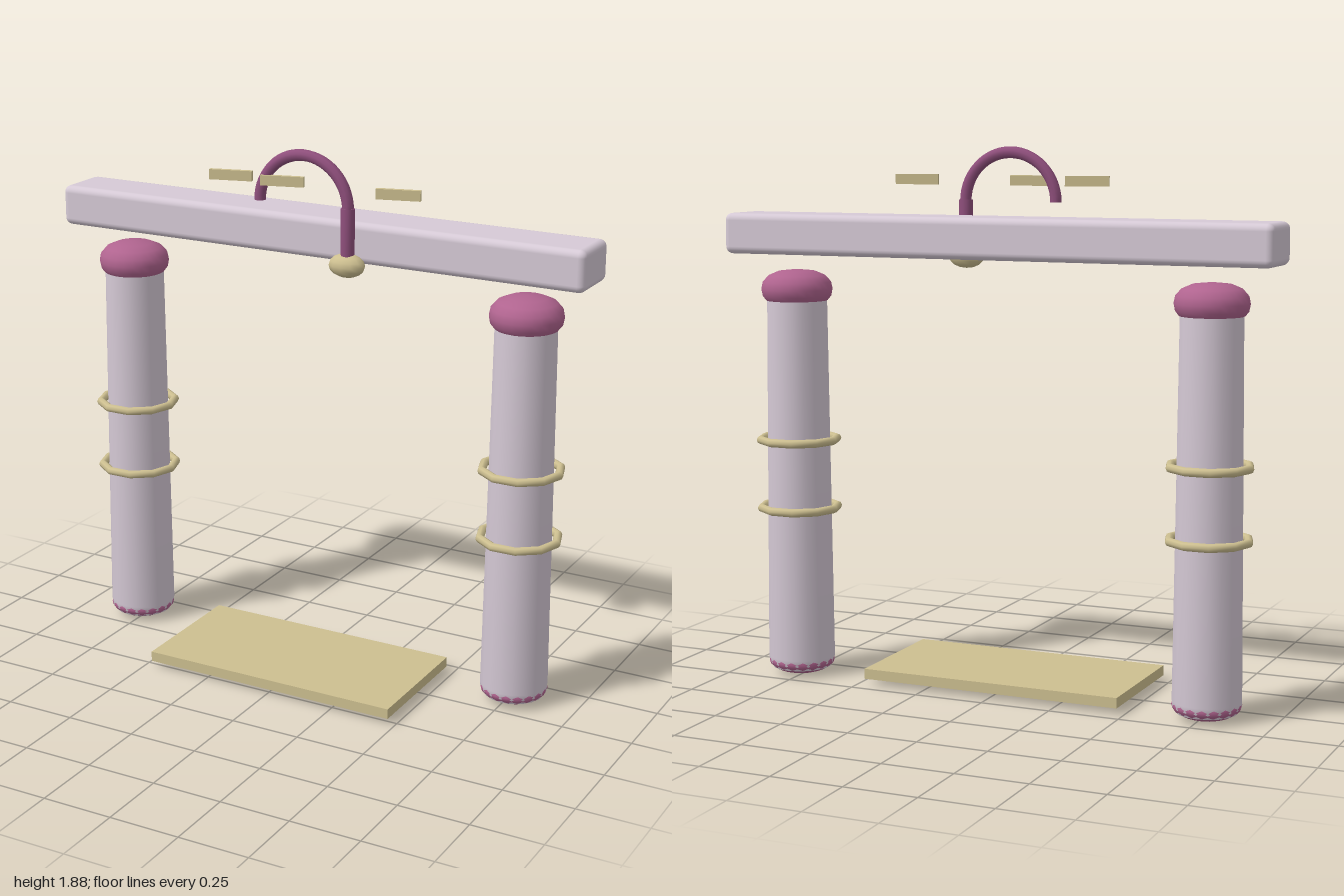
import * as THREE from 'three';
import { RoundedBoxGeometry } from 'three/addons/geometries/RoundedBoxGeometry.js';
import { toCreasedNormals } from 'three/addons/utils/BufferGeometryUtils.js';

const stone = new THREE.MeshStandardMaterial({ color: 0xd6cad6 });
const rose = new THREE.MeshStandardMaterial({ color: 0xb0648f });
const plum = new THREE.MeshStandardMaterial({ color: 0x8f4f7c });
const gold = new THREE.MeshStandardMaterial({ color: 0xcdbf90 });

function add(parent, name, geometry, material, x = 0, y = 0, z = 0) {
  const mesh = new THREE.Mesh(geometry, material);
  mesh.name = name;
  mesh.position.set(x, y, z);
  parent.add(mesh);
  return mesh;
}

// Surface of revolution from [radius, height] pairs, listed bottom to top
function lathe(points, sides) {
  return new THREE.LatheGeometry(points.map(([r, y]) => new THREE.Vector2(r, y)), sides);
}

function createColumn(name) {
  const column = new THREE.Group();
  column.name = name;

  // Tapered shaft with a softened lower edge
  const shaft = lathe([[0, 0.02], [0.085, 0.02], [0.105, 0.026], [0.116, 0.045],
    [0.118, 0.065], [0.105, 1.37], [0, 1.37]], 18);
  add(column, 'columnShaft', toCreasedNormals(shaft, 0.7), stone);

  // Domed cap on top, flattened ball under the foot
  const cap = lathe([[0, 1.345], [0.108, 1.345], [0.12, 1.36], [0.125, 1.385], [0.12, 1.41],
    [0.1, 1.433], [0.065, 1.448], [0, 1.455]], 24);
  add(column, 'columnCap', toCreasedNormals(cap, 0.9), rose);
  add(column, 'columnFoot', new THREE.SphereGeometry(0.118, 18, 12), rose, 0, 0.05, 0).scale.y = 0.42;

  // Loose rings around the shaft
  for (const y of [0.605, 0.85]) {
    const ring = new THREE.TorusGeometry(0.136, 0.015, 8, 10).rotateX(Math.PI / 2);
    add(column, 'columnRing', ring, gold, 0, y, 0);
  }
  return column;
}

export function createModel() {
  const model = new THREE.Group();
  model.name = 'gateway';

  // Pair of columns
  for (const side of [-1, 1]) {
    const column = createColumn(side < 0 ? 'rightColumn' : 'leftColumn');
    column.position.set(side * 0.767, 0, -0.125);
    model.add(column);
  }

  // Lintel beam
  add(model, 'beam', new RoundedBoxGeometry(2, 0.142, 0.207, 3, 0.025), stone, 0, 1.58, -0.127);

  // Hook: half circle, straight stem and flattened end knob
  add(model, 'hookArc', new THREE.TorusGeometry(0.168, 0.02, 10, 28, Math.PI), plum, 0, 1.697, 0);
  for (const [x, turn] of [[0.168, Math.PI / 2], [-0.168, Math.PI / 2]]) {
    add(model, 'hookEnd', new THREE.CircleGeometry(0.02, 10).rotateX(turn), plum, x, 1.697, 0);
  }
  add(model, 'hookStem', toCreasedNormals(new THREE.CylinderGeometry(0.024, 0.024, 0.185, 12), 0.8),
    plum, 0.167, 1.61, 0);
  add(model, 'hookKnob', new THREE.SphereGeometry(1, 12, 8), gold, 0.165, 1.508, 0)
    .scale.set(0.066, 0.041, 0.046);

  // Small angled plaques
  for (const x of [-0.28, -0.08, 0.355]) {
    add(model, 'plaque', new THREE.BoxGeometry(0.15, 0.035, 0.016), gold, x, 1.77, 0.003).rotation.y = 0.26;
  }

  // Threshold slab
  add(model, 'threshold', new THREE.BoxGeometry(0.95, 0.036, 0.47), gold, 0, 0.039, 0.036);

  return model;
}
